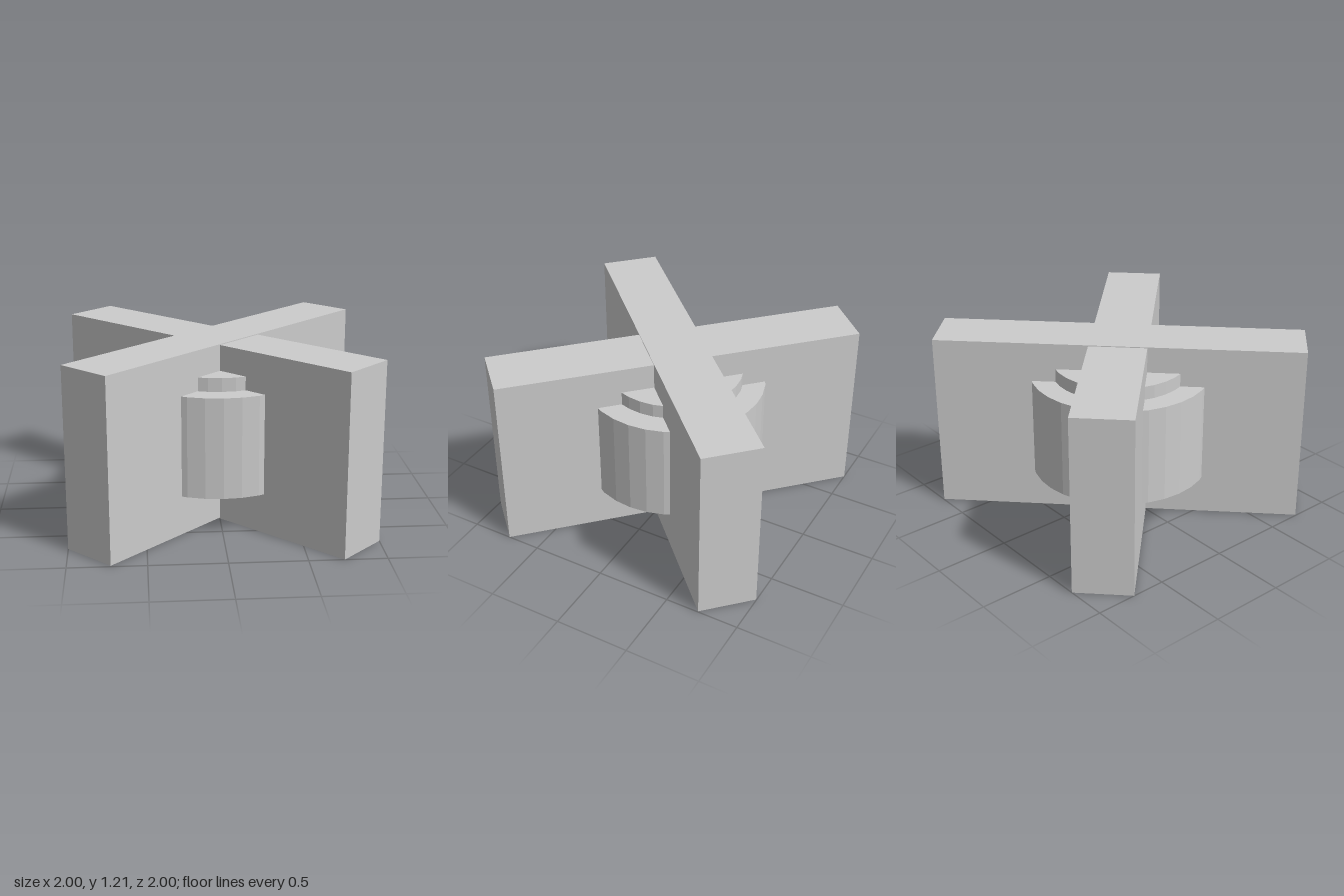
import * as THREE from 'three';

export function createModel() {
  const model = new THREE.Group();
  const material = new THREE.MeshStandardMaterial({ color: 0xcccccc, flatShading: true });

  const add = (name, geometry, y) => {
    const mesh = new THREE.Mesh(geometry, material);
    mesh.name = name;
    mesh.position.y = y;
    model.add(mesh);
    return mesh;
  };

  // Two thick upright plates crossing on the diagonals, one a hair higher
  const height = 1.208, length = 2.442, thickness = 0.386;
  [1, -1].forEach((side) => {
    const lift = side > 0 ? 0.006 : 0;
    const plate = add(side > 0 ? 'raisedCrossPlate' : 'crossPlate',
      new THREE.BoxGeometry(length, height, thickness), height / 2 + lift);
    plate.rotation.y = side * Math.PI / 4;
  });

  // Stepped drum around the crossing
  const drum = (name, radius, bottom, top) =>
    add(name, new THREE.CylinderGeometry(radius, radius, top - bottom, 32), (bottom + top) / 2);
  drum('drum', 0.604, 0.27, 0.945);
  drum('drumCap', 0.455, 0.945, 1.036);

  return model;
}
